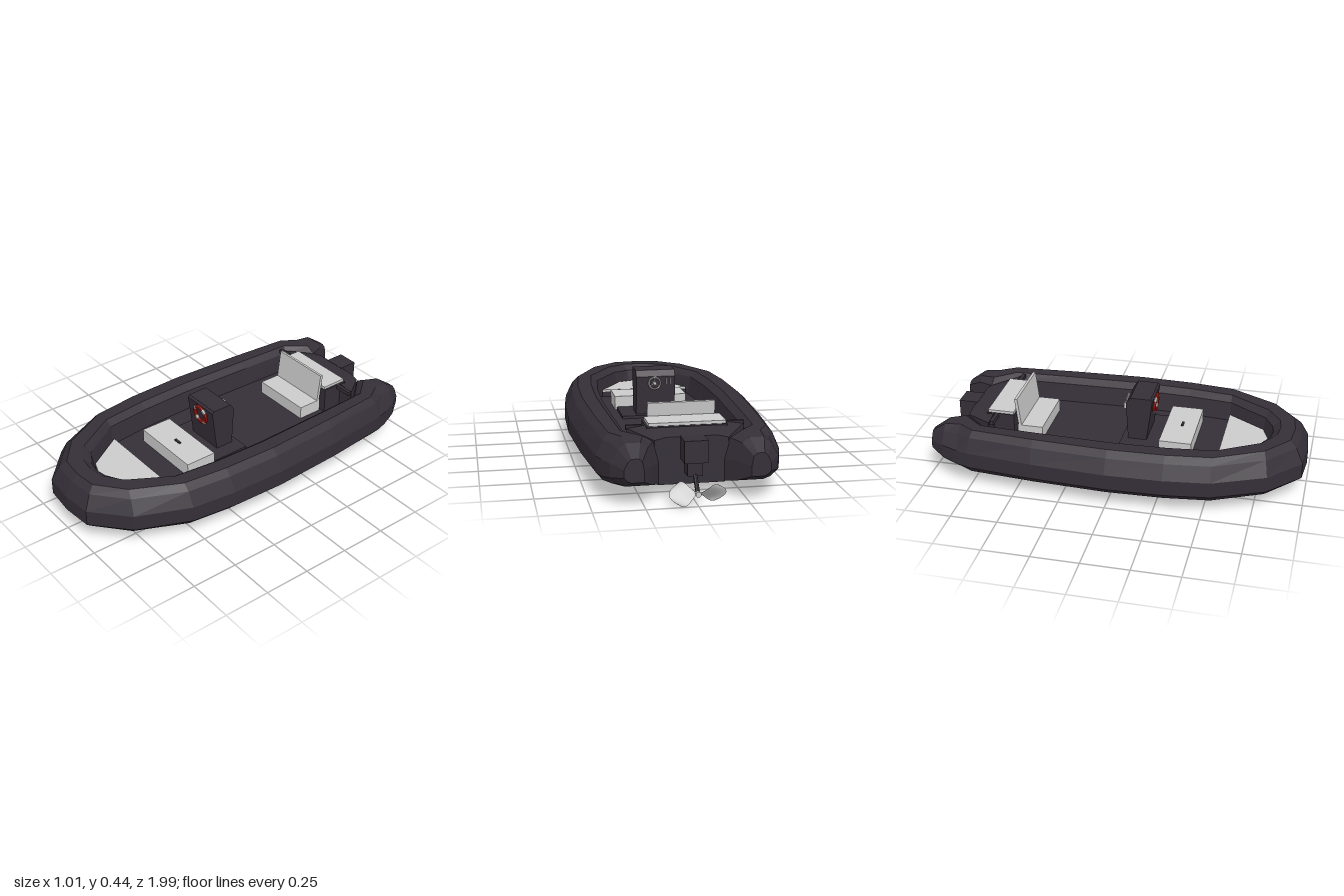
import * as THREE from 'three';
import { ParametricGeometry } from 'three/addons/geometries/ParametricGeometry.js';

const mat = (color, extra = {}) => new THREE.MeshStandardMaterial({ color, flatShading: true, ...extra });
const DARK = mat(0x352f38), LIGHT = mat(0xcccccc), RED = mat(0xa01c14);
const BLADE = mat(0xcccccc, { side: THREE.DoubleSide, flatShading: false });

// Tube stations, stern to bow: outer x, z, inner x, z, bottom, top
const STATIONS = [
  [0.35, -0.99, 0.255, -0.99, 0.13, 0.245],
  [0.405, -0.91, 0.205, -0.91, 0.09, 0.3],
  [0.435, -0.82, 0.16, -0.83, 0.066, 0.31],
  [0.45, -0.76, 0.28, -0.7, 0.062, 0.31],
  [0.485, -0.4, 0.285, -0.4, 0.062, 0.31],
  [0.505, 0, 0.295, 0, 0.062, 0.31],
  [0.495, 0.3, 0.285, 0.3, 0.062, 0.31],
  [0.465, 0.54, 0.26, 0.54, 0.062, 0.31],
  [0.345, 0.815, 0.125, 0.74, 0.062, 0.31],
  [0.165, 0.98, 0.05, 0.775, 0.062, 0.31],
];
// Tube section: share of the way inward, share of the height
const SECTION = [[0.36, 0], [0.19, 0.06], [0, 0.22], [0, 0.56], [0.19, 0.87], [0.36, 1],
  [0.72, 1], [0.9, 0.88], [1, 0.45], [1, 0]];

function tubeGeometry() {
  const mirrored = STATIONS.map(([a, b, c, d, e, f]) => [-a, b, -c, d, e, f]).reverse();
  const path = [...STATIONS, [0, 0.995, 0, 0.785, 0.062, 0.31], ...mirrored];
  const pos = [], idx = [], n = SECTION.length, last = (path.length - 1) * n;
  for (const [ox, oz, ix, iz, lo, hi] of path)
    for (const [t, h] of SECTION) pos.push(ox + (ix - ox) * t, lo + (hi - lo) * h, oz + (iz - oz) * t);
  for (let i = 0; i < path.length - 1; i++)
    for (let j = 0; j < n; j++) {
      const a = i * n + j, b = i * n + (j + 1) % n;
      idx.push(a, b, a + n, b, b + n, a + n);
    }
  for (let j = 1; j < n - 1; j++) idx.push(0, j + 1, j, last, last + j, last + j + 1);
  const g = new THREE.BufferGeometry();
  g.setAttribute('position', new THREE.Float32BufferAttribute(pos, 3));
  g.setIndex(idx);
  g.computeVertexNormals();
  return g;
}

// Horizontal slab from a half outline of [x, z] points, mirrored across x = 0
function slabGeometry(half, y0, y1) {
  const all = [...half, ...half.map(([x, z]) => [-x, z]).reverse()];
  const shape = new THREE.Shape(all.map(([x, z]) => new THREE.Vector2(x, -z)));
  return new THREE.ExtrudeGeometry(shape, { depth: y1 - y0, bevelEnabled: false })
    .rotateX(-Math.PI / 2).translate(0, y0, 0);
}

export function createModel() {
  const boat = new THREE.Group();
  boat.name = 'inflatableBoat';
  const add = (name, geo, material, parent = boat) => {
    const m = new THREE.Mesh(geo, material);
    m.name = name;
    parent.add(m);
    return m;
  };
  const box = (name, material, x0, x1, y0, y1, z0, z1, parent) => {
    const m = add(name, new THREE.BoxGeometry(x1 - x0, y1 - y0, z1 - z0), material, parent);
    m.position.set((x0 + x1) / 2, (y0 + y1) / 2, (z0 + z1) / 2);
    return m;
  };

  // Hull
  add('tube', tubeGeometry(), DARK);
  add('hullFloor', slabGeometry(STATIONS.slice(2).map(s => [s[2], s[3]]), 0.0621, 0.18), DARK);

  // Stern deck, narrowed and lowered towards the transom
  const deckShape = new THREE.Shape([[-0.3, 0.17], [0.3, 0.17], [0.29, 0.309], [0.2, 0.322],
    [-0.2, 0.322], [-0.29, 0.309]].map(p => new THREE.Vector2(...p)));
  const deck = new THREE.ExtrudeGeometry(deckShape, { depth: 0.15, bevelEnabled: false }).translate(0, 0, -0.832);
  const p = deck.attributes.position;
  for (let i = 0; i < p.count; i++)
    if (p.getZ(i) < -0.8) p.setXY(i, p.getX(i) * 0.62, p.getY(i) > 0.2 ? p.getY(i) - 0.025 : 0.07);
  deck.computeVertexNormals();
  add('sternDeck', deck, DARK);
  for (const s of [-1, 1]) {
    const bar = box('sternBar', DARK, -0.05, 0.05, 0.3, 0.322, -0.675, -0.655);
    bar.position.x = s * 0.245;
  }

  // Bow seat
  const bow = [[0.25, 0.54], [0.12, 0.742], [0, 0.785]];
  add('bowSeatBase', slabGeometry(bow, 0.17, 0.21), DARK);
  add('bowSeat', slabGeometry(bow, 0.21, 0.222), LIGHT);

  // Back-to-back stern seats
  box('sternSeatBox', DARK, -0.2, 0.2, 0.17, 0.322, -0.72, -0.57);
  box('rearSeat', LIGHT, -0.195, 0.19, 0.322, 0.337, -0.715, -0.572);
  box('frontSeat', LIGHT, -0.172, 0.17, 0.18, 0.25, -0.56, -0.42);
  const back = box('seatBack', LIGHT, -0.172, 0.17, 0.24, 0.404, -0.563, -0.547);
  back.rotation.x = -0.12;

  // Locker ahead of the console
  box('locker', LIGHT, -0.185, 0.22, 0.18, 0.255, 0.222, 0.395);
  box('lockerHandle', DARK, 0, 0.042, 0.255, 0.262, 0.308, 0.32);

  // Steering console
  const helm = new THREE.Group();
  helm.name = 'console';
  boat.add(helm);
  box('platform', DARK, -0.17, 0.21, 0.18, 0.195, 0, 0.22, helm);
  const side = new THREE.Shape([[0.135, 0.19], [0.165, 0.425], [0.155, 0.437], [0.045, 0.437],
    [0.022, 0.405], [0.035, 0.19]].map(([z, y]) => new THREE.Vector2(-z, y)));
  add('consoleBody', new THREE.ExtrudeGeometry(side, { depth: 0.214, bevelEnabled: false })
    .rotateY(Math.PI / 2).translate(-0.085, 0, 0), DARK, helm);

  // Steering wheel and throttle levers
  const wheel = new THREE.Group();
  wheel.name = 'steeringWheel';
  wheel.position.set(0.03, 0.37, 0.012);
  helm.add(wheel);
  add('wheelRim', new THREE.TorusGeometry(0.032, 0.005, 6, 20), LIGHT, wheel);
  add('wheelHub', new THREE.CylinderGeometry(0.009, 0.009, 0.025, 10).rotateX(Math.PI / 2), LIGHT, wheel);
  for (let i = 0; i < 3; i++) {
    const a = Math.PI / 2 + i * Math.PI * 2 / 3;
    add('wheelSpoke', new THREE.BoxGeometry(0.03, 0.005, 0.004).translate(0.016, 0, 0), LIGHT, wheel).rotation.z = a;
  }
  for (const x of [-0.06, -0.038]) box('throttleLever', LIGHT, x - 0.003, x + 0.003, 0.36, 0.395, 0.008, 0.026, helm);

  // Lifebuoy in alternating segments
  const buoy = new THREE.Group();
  buoy.name = 'lifebuoy';
  buoy.position.set(0.022, 0.369, 0.163);
  buoy.rotation.x = 0.12;
  helm.add(buoy);
  const white = 0.42;
  for (let i = 0; i < 4; i++) {
    const a = Math.PI / 4 + i * Math.PI / 2;
    add('buoyBand', new THREE.TorusGeometry(0.047, 0.011, 8, 3, white), LIGHT, buoy).rotation.z = a - white / 2;
    add('buoySegment', new THREE.TorusGeometry(0.047, 0.011, 8, 6, Math.PI / 2 - white), RED, buoy).rotation.z = a + white / 2;
  }

  // Outboard motor
  const motor = new THREE.Group();
  motor.name = 'outboardMotor';
  boat.add(motor);
  box('cowl', DARK, -0.06, 0.055, 0.19, 0.3, -0.93, -0.825, motor);
  box('motorLeg', DARK, -0.04, 0.035, 0.12, 0.19, -0.905, -0.83, motor);
  const shaft = add('shaft', new THREE.CylinderGeometry(0.011, 0.011, 0.13, 8), DARK, motor);
  shaft.position.set(-0.003, 0.1, -0.92);
  shaft.rotation.x = 0.72;

  // Two twisted propeller blades
  const prop = new THREE.Group();
  prop.name = 'propeller';
  prop.position.set(-0.003, 0.053, -0.96);
  motor.add(prop);
  add('propellerHub', new THREE.CylinderGeometry(0.012, 0.014, 0.045, 10).rotateX(Math.PI / 2), LIGHT, prop);
  const bladeGeometry = new ParametricGeometry((u, v, out) => {
    const chord = 0.016 + 0.104 * Math.sin(Math.PI * Math.pow(u, 1.2) * 0.72);
    const pitch = 1.15 - 0.6 * u, c = (v - 0.5) * chord;
    const r = 0.005 + 0.133 * u - 0.045 * u * Math.pow(2 * v - 1, 2);
    out.set(r, c * Math.cos(pitch) * 1.12, c * Math.sin(pitch) * 0.95);
  }, 12, 8);
  for (let i = 0; i < 2; i++) add('propellerBlade', bladeGeometry, BLADE, prop).rotation.z = i * Math.PI;

  return boat;
}
